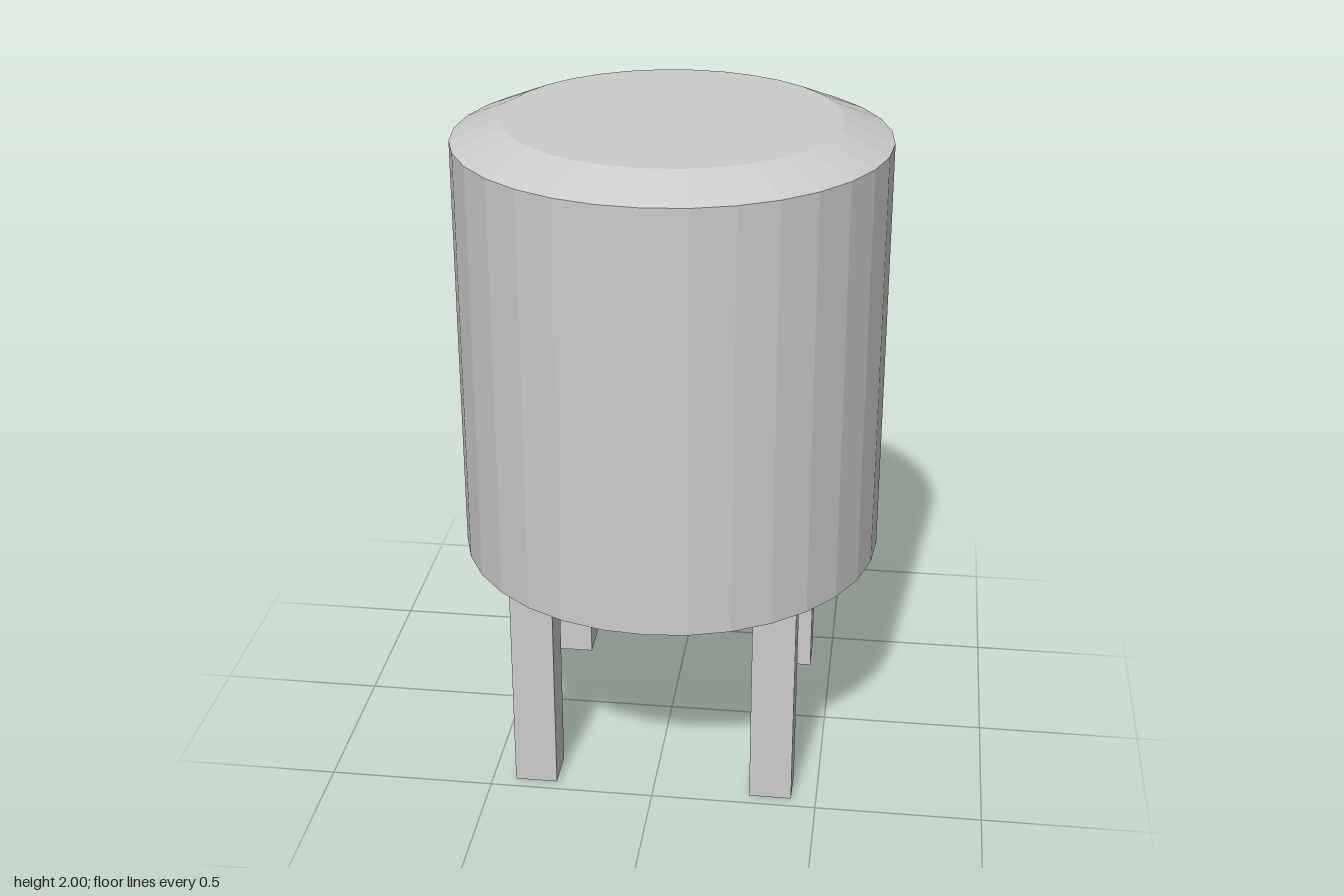
import * as THREE from 'three';

export function createModel() {
  const group = new THREE.Group();
  const material = new THREE.MeshStandardMaterial({ color: 0xcccccc, flatShading: true });

  const add = (name, geometry, x, y, z) => {
    const mesh = new THREE.Mesh(geometry, material);
    mesh.name = name;
    mesh.position.set(x, y, z);
    group.add(mesh);
  };

  // Faceted drum with a shallow bevelled lid, closed at both ends
  const profile = [[0, 0.655], [0.64, 0.655], [0.64, 1.94], [0.495, 2], [0, 2]]
    .map(([r, y]) => new THREE.Vector2(r, y));
  add('body', new THREE.LatheGeometry(profile, 32), 0, 0, 0);

  // Four square legs, slightly uneven in placement
  const legWidth = 0.128, legHeight = 0.655;
  const legs = {
    frontLeftLeg: [0.36, 0.398],
    frontRightLeg: [-0.365, 0.398],
    backLeftLeg: [0.37, -0.378],
    backRightLeg: [-0.381, -0.378],
  };
  for (const [name, [x, z]] of Object.entries(legs)) {
    add(name, new THREE.BoxGeometry(legWidth, legHeight, legWidth), x, legHeight / 2, z);
  }
  return group;
}
